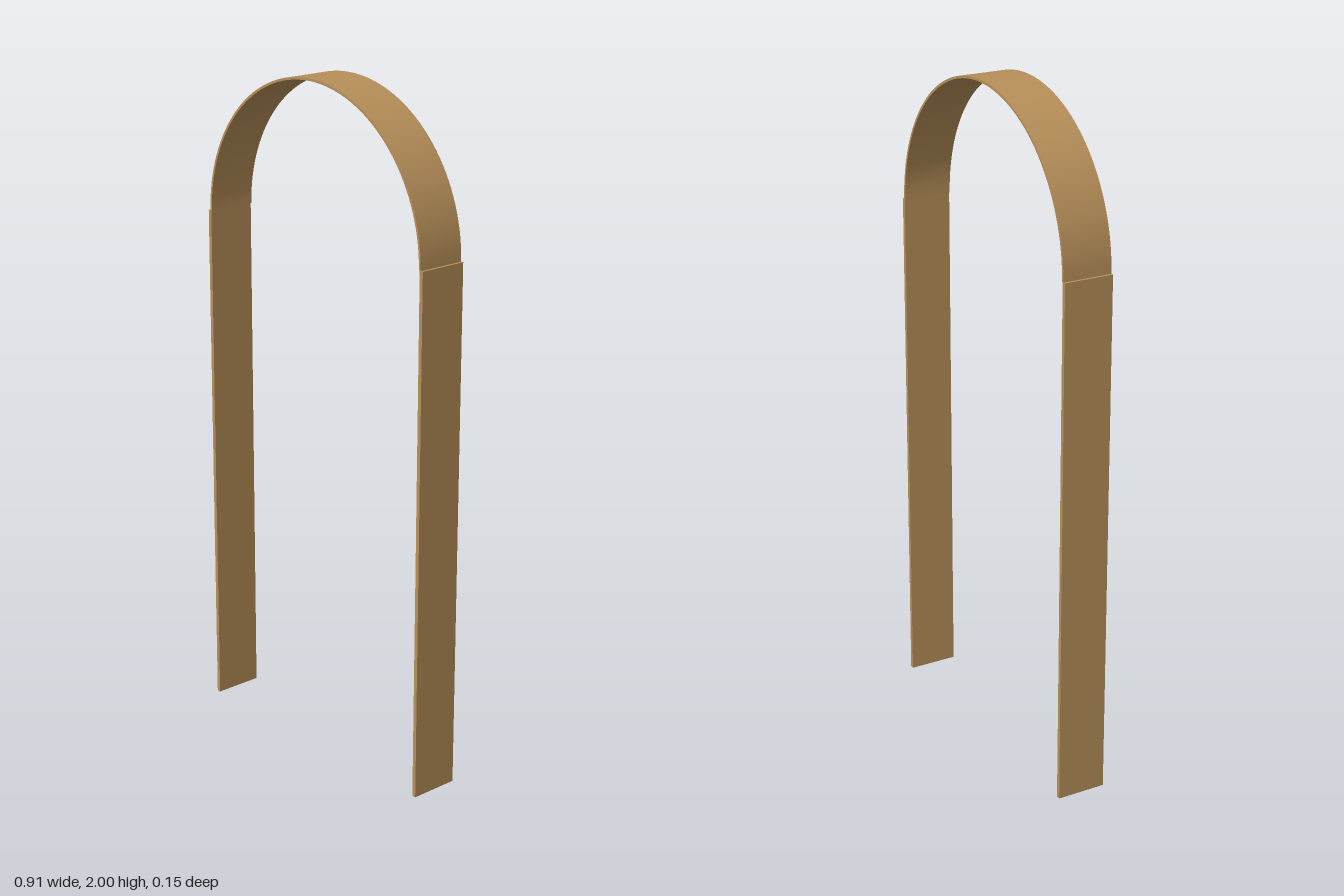
import * as THREE from 'three';
import { toCreasedNormals } from 'three/addons/utils/BufferGeometryUtils.js';

const DEPTH = 0.148;   // width of the band along z
const OUTER = 0.447;   // outer radius of the arch
const INNER = 0.44;
const SPRING = 2 - OUTER; // height where the legs meet the arch

export function createModel() {
  const group = new THREE.Group();
  group.name = 'archBand';
  const material = new THREE.MeshStandardMaterial({ color: 0xb8905a });

  // Curved top: a thin half ring extruded along z
  const ring = new THREE.Shape();
  ring.absarc(0, 0, OUTER, 0, Math.PI, false);
  ring.absarc(0, 0, INNER, Math.PI, 0, true);
  ring.closePath();
  const archGeometry = new THREE.ExtrudeGeometry(ring, {
    depth: DEPTH, bevelEnabled: false, curveSegments: 32,
  });
  archGeometry.translate(0, SPRING, -DEPTH / 2);
  const arch = new THREE.Mesh(toCreasedNormals(archGeometry, Math.PI / 6), material);
  arch.name = 'archTop';
  group.add(arch);

  // Two straight legs
  for (const [name, side] of [['leftLeg', 1], ['rightLeg', -1]]) {
    const leg = new THREE.Mesh(new THREE.BoxGeometry(0.012, SPRING, DEPTH), material);
    leg.name = name;
    leg.position.set(side * 0.449, SPRING / 2, 0);
    group.add(leg);
  }
  return group;
}
